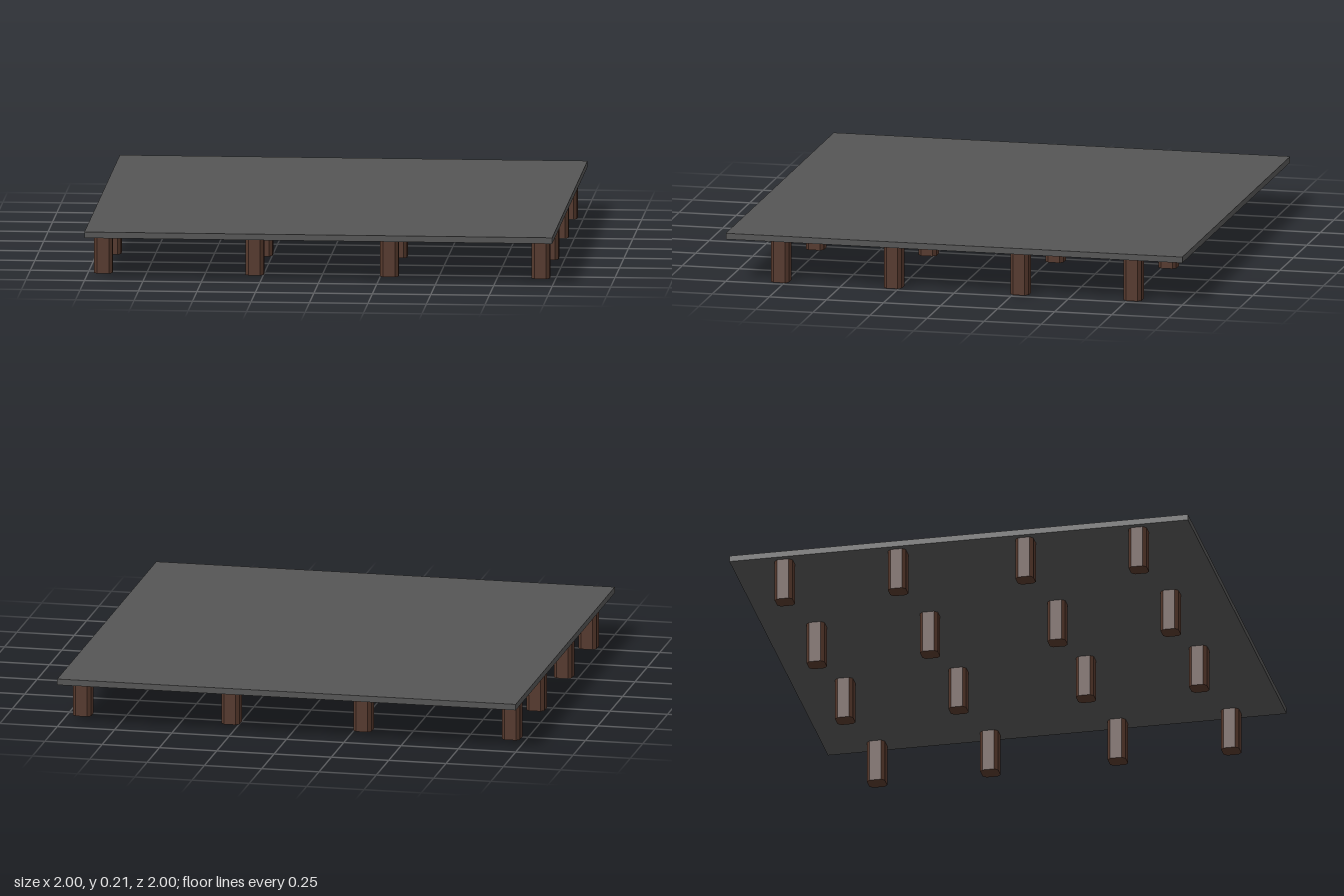
import * as THREE from 'three';

export function createModel() {
  const model = new THREE.Group();
  const slabMaterial = new THREE.MeshStandardMaterial({ color: 0x555555 });
  const woodMaterial = new THREE.MeshStandardMaterial({ color: 0x55382c });

  const top = 0.21, slabThickness = 0.026;
  const legHeight = top - slabThickness;

  // Thin square deck
  const deck = new THREE.Mesh(new THREE.BoxGeometry(2, slabThickness, 2), slabMaterial);
  deck.name = 'deck';
  deck.position.y = top - slabThickness / 2;
  model.add(deck);

  // Square post with chamfered vertical edges
  const h = 0.039, c = 0.025;
  const section = new THREE.Shape([
    [h, -c], [h, c], [c, h], [-c, h], [-h, c], [-h, -c], [-c, -h], [c, -h],
  ].map(([x, y]) => new THREE.Vector2(x, y)));
  const postGeometry = new THREE.ExtrudeGeometry(section, { depth: legHeight, bevelEnabled: false });
  postGeometry.rotateX(-Math.PI / 2);

  // Four by four grid of posts
  const posts = new THREE.Group();
  posts.name = 'posts';
  for (const x of [-0.935, -0.288, 0.288, 0.935]) {
    for (const z of [-0.772, -0.278, 0.278, 0.772]) {
      const post = new THREE.Mesh(postGeometry, woodMaterial);
      post.name = 'post';
      post.position.set(x, 0, z);
      posts.add(post);
    }
  }
  model.add(posts);

  return model;
}
